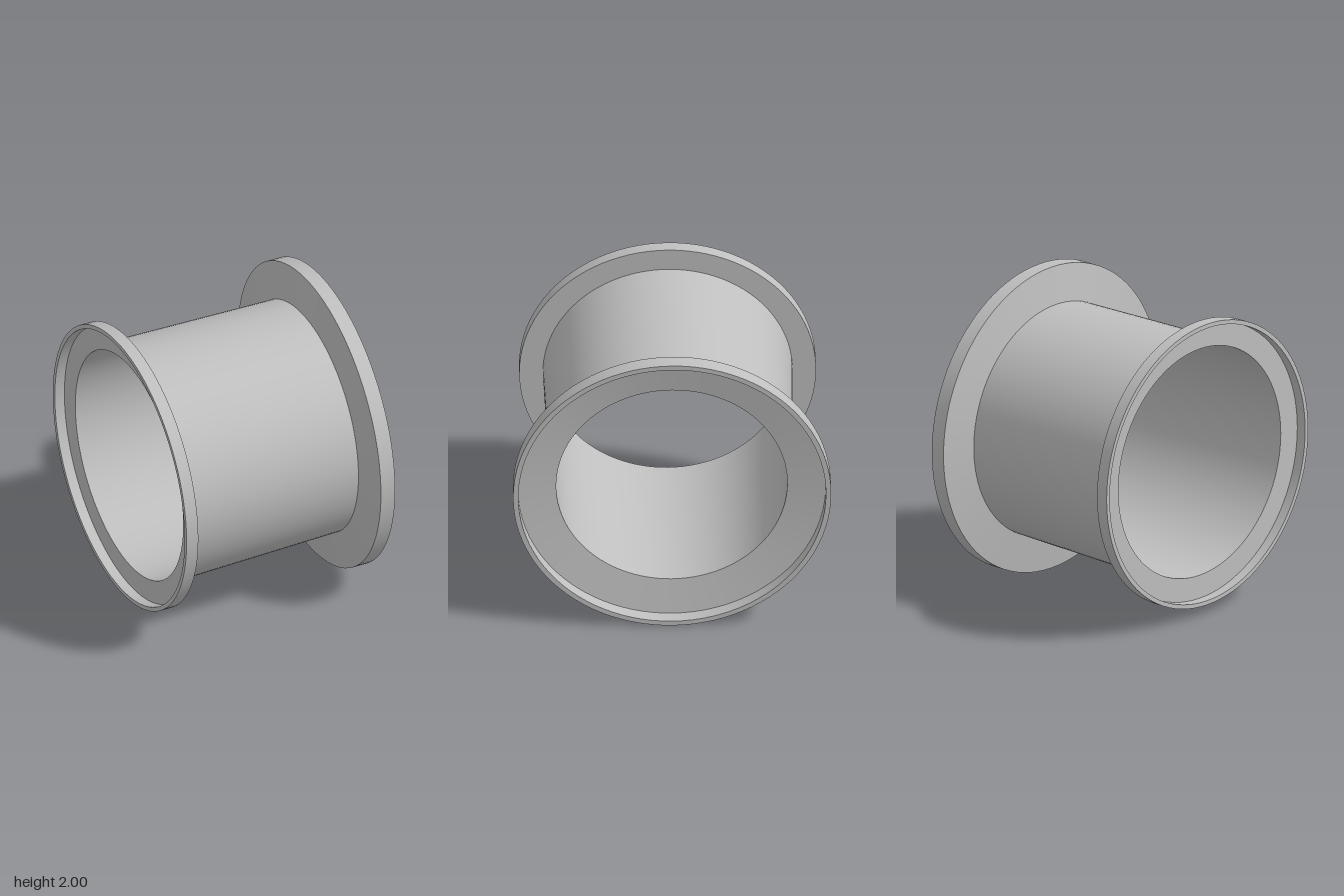
import * as THREE from 'three';
import { toCreasedNormals } from 'three/addons/utils/BufferGeometryUtils.js';

export function createModel() {
  const group = new THREE.Group();
  const metal = new THREE.MeshStandardMaterial({ color: 0xbfbfbf });
  metal.name = 'greyMetal';

  // Surface of revolution around the x axis; profile points are [x, radius]
  const addTurned = (name, profile) => {
    const points = profile.map(([x, r]) => new THREE.Vector2(r, x));
    const geometry = toCreasedNormals(new THREE.LatheGeometry(points, 96), 0.3);
    geometry.rotateZ(-Math.PI / 2);
    geometry.translate(0, 1, 0);
    const mesh = new THREE.Mesh(geometry, metal);
    mesh.name = name;
    group.add(mesh);
  };

  // Slightly tapered hollow barrel
  addTurned('barrelOuter', [[-0.635, 0.785], [0.58, 0.76]]);
  addTurned('barrelBore', [[0.595, 0.727], [-0.65, 0.752]]);

  // Smaller flange: flat web with a raised thin rim
  addTurned('smallFlange', [
    [-0.65, 0.752], [-0.65, 0.905], [-0.717, 0.905],
    [-0.717, 0.933], [-0.635, 0.933], [-0.635, 0.785],
  ]);

  // Larger flange: dished web with a raised thin rim
  addTurned('largeFlange', [
    [0.58, 0.76], [0.617, 1], [0.717, 1],
    [0.717, 0.967], [0.63, 0.967], [0.595, 0.727],
  ]);

  return group;
}
